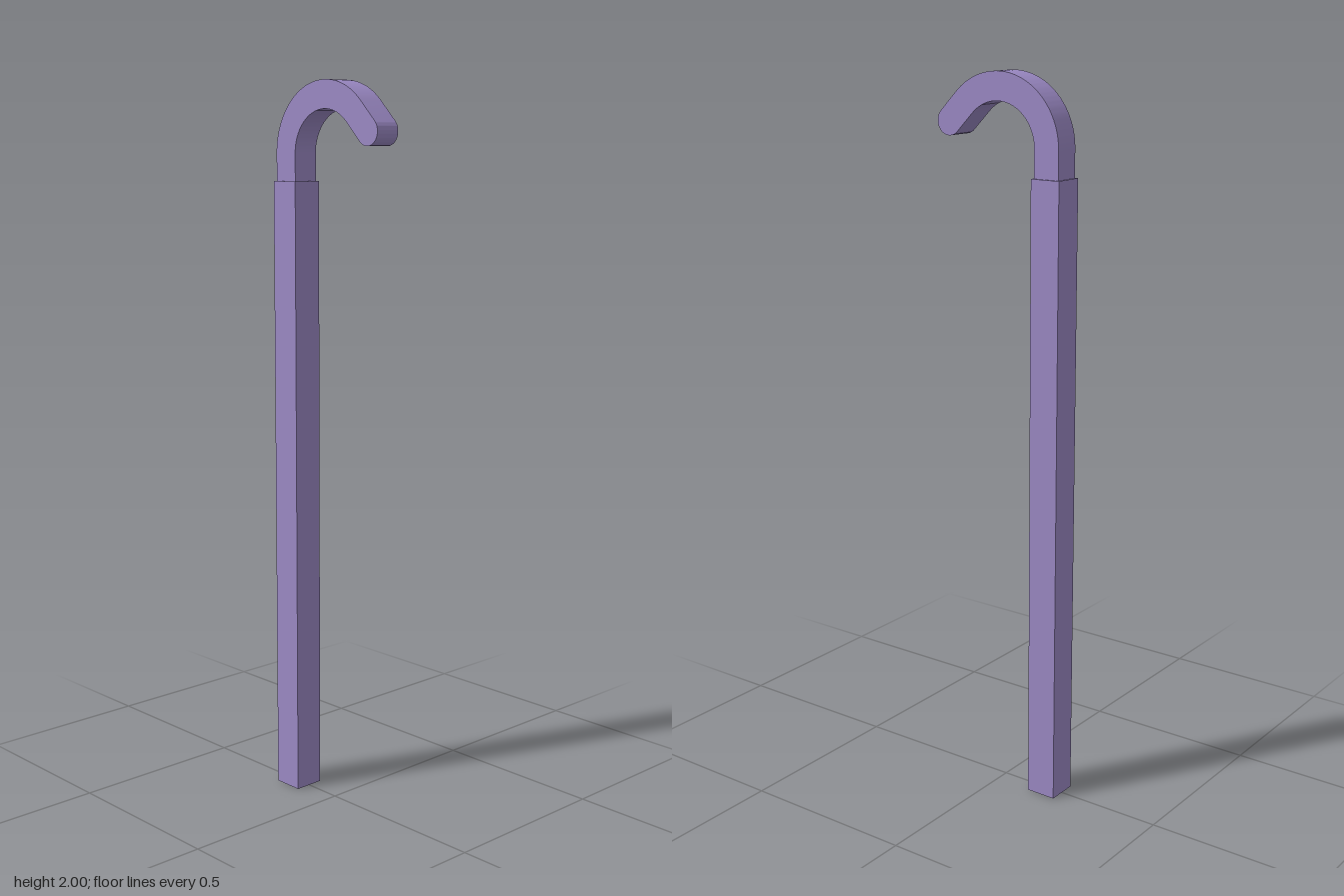
import * as THREE from 'three';
import { toCreasedNormals } from 'three/addons/utils/BufferGeometryUtils.js';

const BAR = 0.075;       // width of the square hook bar
const SLEEVE = 0.087;    // outer width of the square tube
const SLEEVE_TOP = 1.735;
const SHAFT_Z = -0.153;  // axis of the shaft

function squarePath(PathType, size) {
  const h = size / 2;
  return new PathType([[-h, -h], [h, -h], [h, h], [-h, h]].map(([x, y]) => new THREE.Vector2(x, y)));
}

export function createModel() {
  const group = new THREE.Group();
  group.name = 'hookedPole';
  const material = new THREE.MeshStandardMaterial({ color: 0x9b89c4 });

  // Hollow square tube, open at the bottom
  const section = squarePath(THREE.Shape, SLEEVE);
  section.holes.push(squarePath(THREE.Path, BAR + 0.001));
  const sleeveGeometry = new THREE.ExtrudeGeometry(section, { depth: SLEEVE_TOP, bevelEnabled: false });
  sleeveGeometry.rotateX(-Math.PI / 2);
  const sleeve = new THREE.Mesh(sleeveGeometry, material);
  sleeve.name = 'shaftTube';
  sleeve.position.z = SHAFT_Z;
  group.add(sleeve);

  // Hook bar: straight stem, arc over the top, sloping rounded tip
  const r = -SHAFT_Z, h = BAR / 2, cy = 2 - r - h, stemBottom = 1.65;
  const tipZ = 0.159, tipY = cy + r * Math.SQRT2 - tipZ;
  const profile = new THREE.Shape();
  profile.moveTo(-r - h, stemBottom);
  profile.lineTo(-r - h, cy);
  profile.absarc(0, cy, r + h, Math.PI, Math.PI / 4, true);
  profile.absarc(tipZ, tipY, h, Math.PI / 4, -Math.PI * 3 / 4, true);
  profile.absarc(0, cy, r - h, Math.PI / 4, Math.PI, false);
  profile.lineTo(-r + h, stemBottom);
  const hookGeometry = new THREE.ExtrudeGeometry(profile, { depth: BAR, bevelEnabled: false, curveSegments: 32 });
  hookGeometry.translate(0, 0, -h);
  hookGeometry.rotateY(-Math.PI / 2);
  const hook = new THREE.Mesh(toCreasedNormals(hookGeometry, Math.PI / 6), material);
  hook.name = 'hook';
  group.add(hook);

  return group;
}
